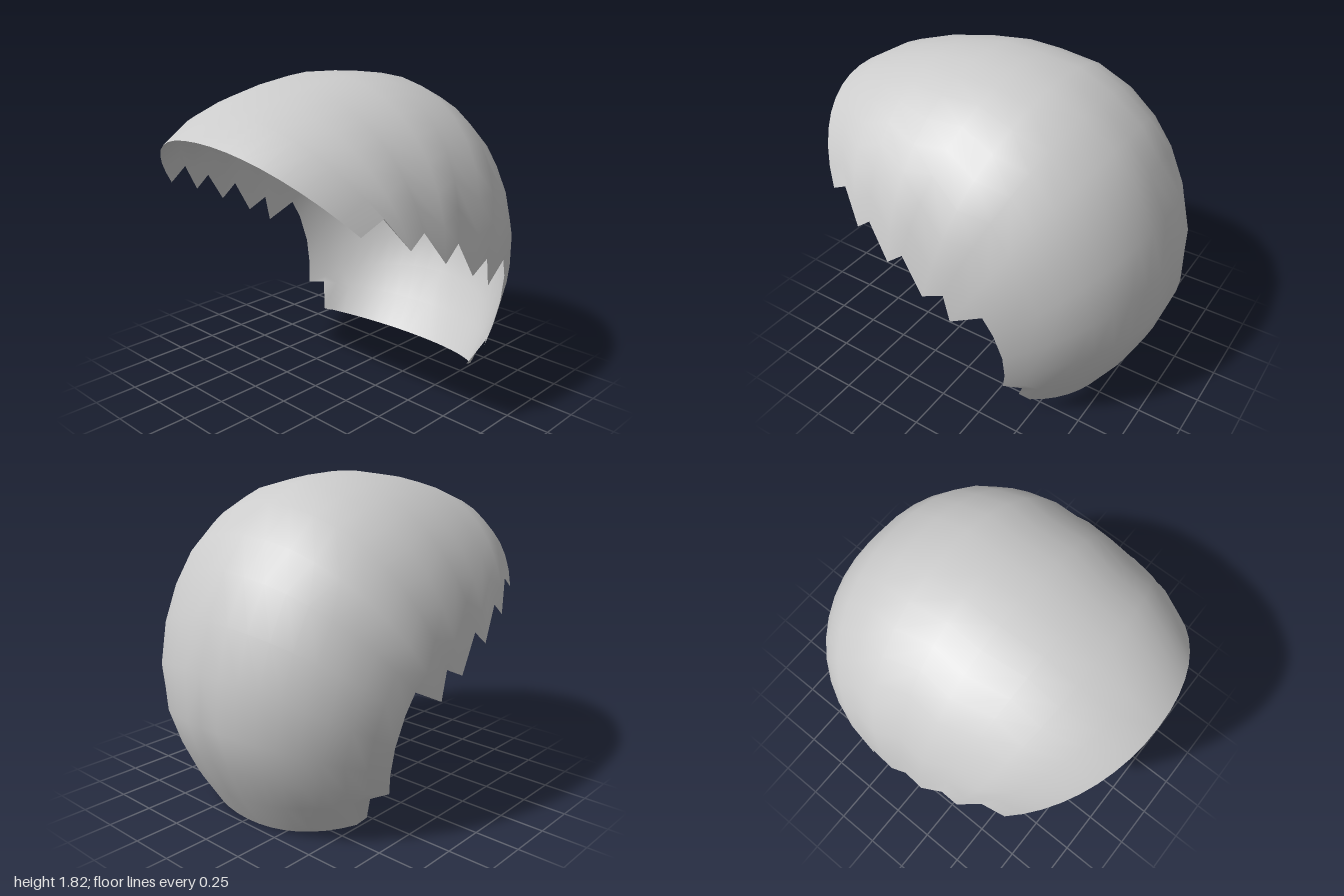
import * as THREE from 'three';

// Crest line on the mirror plane, [z, y], from the brow over the top to the nape
const crest = [
  [1, 1.56], [0.81, 1.67], [0.6, 1.74], [0.4, 1.785], [0.15, 1.82], [-0.07, 1.81],
  [-0.3, 1.78], [-0.5, 1.69], [-0.68, 1.55], [-0.81, 1.38], [-0.92, 1.15], [-0.99, 0.9],
  [-1, 0.62], [-0.93, 0.4], [-0.83, 0.19], [-0.71, 0],
];
// Jagged side rim, [z, y], one point for each crest point
const rim = [
  [0.66, 1.18], [0.54, 1.25], [0.42, 1.08], [0.33, 1.15], [0.2, 0.97], [0.1, 1.05],
  [-0.02, 0.85], [-0.15, 0.91], [-0.18, 0.75], [-0.36, 0.84], [-0.41, 0.73], [-0.44, 0.56],
  [-0.43, 0.4], [-0.4, 0.28], [-0.49, 0.27], [-0.42, 0.11],
];
const CENTRE_Y = 0.88, HALF_WIDTH = 0.885, STEPS = 9;

// Angle and radius around the widest point of the shell
function polar([z, y]) {
  let a = Math.atan2(y - CENTRE_Y, z);
  if (a < -Math.PI / 2) a += 2 * Math.PI;
  return [a, Math.hypot(z, y - CENTRE_Y)];
}
// Full side profile: the crest continued a little past both ends
const profile = [[1.12, 0.88], [1.1, 1.37], ...crest, [-0.6, -0.13], [0, -0.25]].map(polar);

function profileRadius(a) {
  for (let i = 1; i < profile.length; i++) {
    const [a0, r0] = profile[i - 1], [a1, r1] = profile[i];
    if (a <= a1) return r0 + (r1 - r0) * Math.max(0, (a - a0) / (a1 - a0));
  }
  return profile[profile.length - 1][1];
}

// Half width of the shell at a point of the side profile
function halfWidth(z, y) {
  const [a, r] = polar([z, y]);
  const s = Math.min(1, r / profileRadius(a));
  const power = 2.3 - 0.15 * Math.max(0, Math.sin(a)) ** 2;
  return HALF_WIDTH * (1 - s ** power) ** 0.476;
}

export function createModel() {
  const positions = [], index = [], row = 2 * STEPS + 1;

  // One rib per crest point, running from the right rim over the crest to the left rim
  crest.forEach(([cz, cy], i) => {
    const [ez, ey] = rim[i];
    for (let j = -STEPS; j <= STEPS; j++) {
      const t = (j / STEPS) ** 2;
      const z = cz + (ez - cz) * t, y = cy + (ey - cy) * t;
      positions.push(j === 0 ? 0 : Math.sign(j) * halfWidth(z, y), y, z);
    }
  });
  // Skin between neighbouring ribs, split symmetrically on both sides
  for (let i = 0; i < crest.length - 1; i++) {
    for (let j = 0; j < row - 1; j++) {
      const a = i * row + j, b = a + 1, c = a + row, d = c + 1;
      if (j < STEPS) index.push(a, b, c, b, d, c);
      else index.push(a, b, d, a, d, c);
    }
  }
  const geometry = new THREE.BufferGeometry();
  geometry.setAttribute('position', new THREE.Float32BufferAttribute(positions, 3));
  geometry.setIndex(index);
  geometry.computeVertexNormals();

  const shell = new THREE.Mesh(geometry, new THREE.MeshStandardMaterial({
    color: 0xcccccc, side: THREE.DoubleSide,
  }));
  shell.name = 'hairCapShell';

  const group = new THREE.Group();
  group.name = 'hairCap';
  group.add(shell);
  return group;
}
